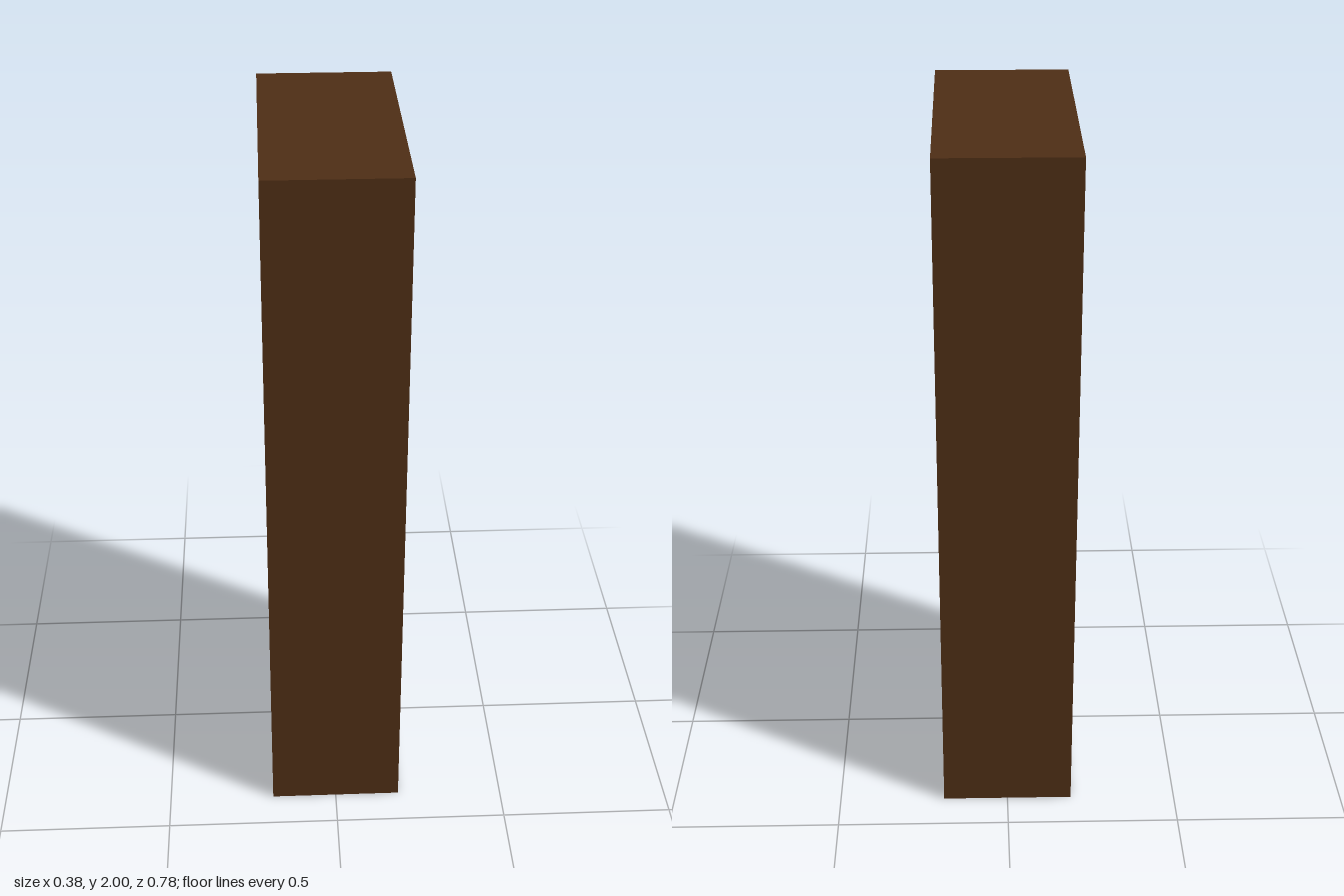
import * as THREE from 'three';

const WIDTH = 0.78;   // along z
const DEPTH = 0.38;   // along x, open towards +x
const HEIGHT = 2;
const SIDE = 0.03;    // side panel thickness
const BACK = 0.03;    // back panel thickness
const BASE = 0.06;
const TOP = 0.043;
const SHELF = 0.029;

export function createModel() {
  const model = new THREE.Group();
  model.name = 'bookcase';
  const wood = new THREE.MeshStandardMaterial({ color: 0x4e2e15 });

  const addBoard = (name, [w, h, d], [x, y, z]) => {
    const board = new THREE.Mesh(new THREE.BoxGeometry(w, h, d), wood);
    board.name = name;
    board.position.set(x, y, z);
    model.add(board);
  };

  // Upright side panels
  for (const [name, s] of [['frontSidePanel', 1], ['rearSidePanel', -1]]) {
    addBoard(name, [DEPTH, HEIGHT, SIDE], [0, HEIGHT / 2, s * (WIDTH - SIDE) / 2]);
  }

  // Boards fitted between the sides
  const inner = WIDTH - 2 * SIDE;
  addBoard('topBoard', [DEPTH, TOP, inner], [0, HEIGHT - TOP / 2, 0]);
  addBoard('baseBoard', [DEPTH, BASE, inner], [0, BASE / 2, 0]);
  addBoard('backPanel', [BACK, HEIGHT - TOP - BASE, inner],
    [(BACK - DEPTH) / 2, (HEIGHT - TOP + BASE) / 2, 0]);

  // Shelves, unevenly spaced, flush with the open side
  [0.343, 0.683, 1.022, 1.327, 1.664].forEach((y, i) => {
    addBoard(`shelf${i + 1}`, [DEPTH - BACK, SHELF, inner], [BACK / 2, y, 0]);
  });

  return model;
}
